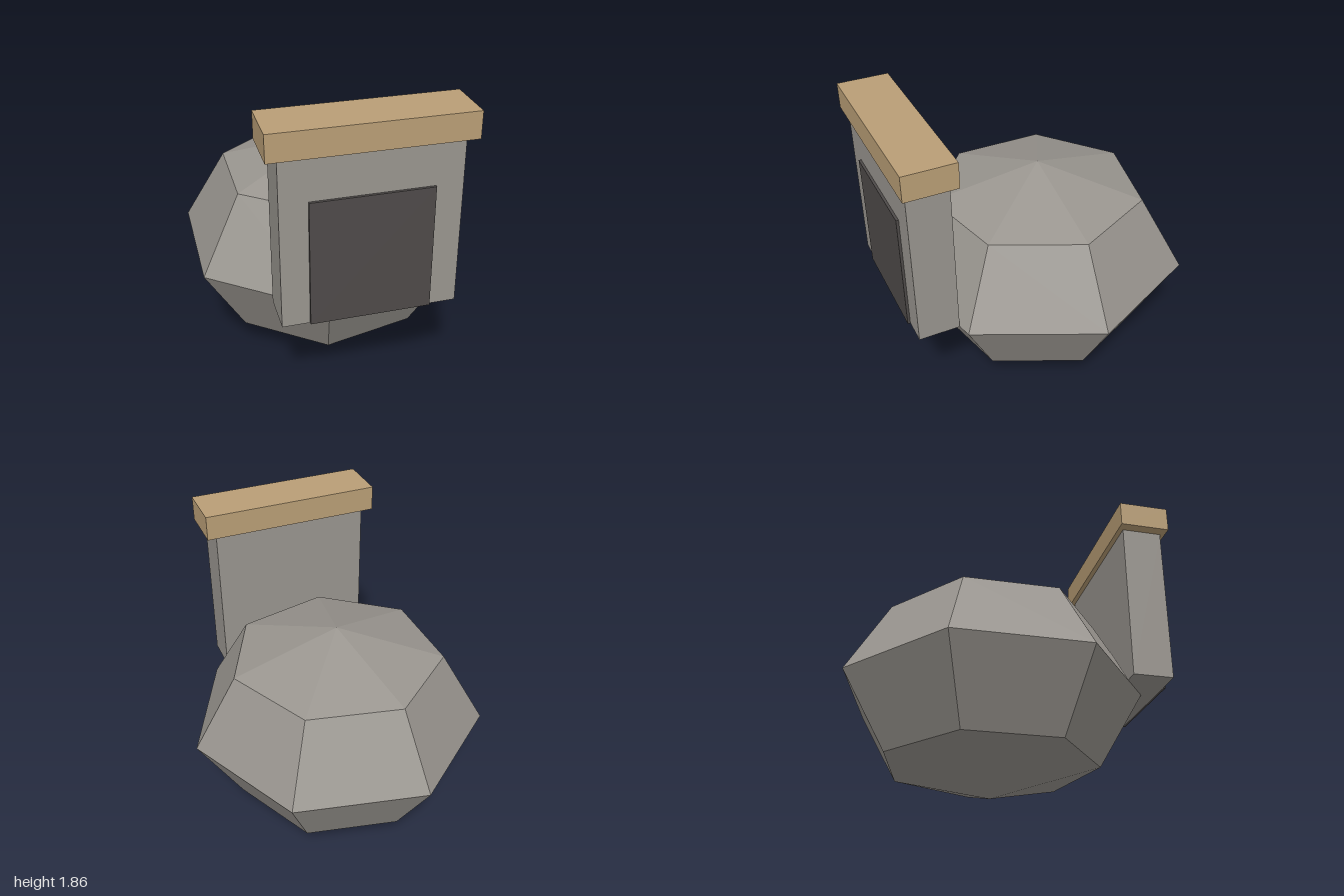
import * as THREE from 'three';

export function createModel() {
  const model = new THREE.Group();
  const stone = new THREE.MeshStandardMaterial({ color: 0x99958f, flatShading: true });
  stone.name = 'grey stone';
  const wood = new THREE.MeshStandardMaterial({ color: 0xb99e76 });
  wood.name = 'tan lintel';
  const dark = new THREE.MeshStandardMaterial({ color: 0x4e4a49 });
  dark.name = 'dark doorway';

  const cx = -0.05; // shared centre line of all parts
  const floor = 0.677;

  // Faceted seven-sided boulder, squashed in height
  const boulder = new THREE.Mesh(new THREE.SphereGeometry(0.96, 7, 4), stone);
  boulder.name = 'boulder';
  boulder.rotation.y = Math.PI;
  boulder.scale.y = 0.703;
  boulder.position.set(cx, 0.675, -0.06);
  model.add(boulder);

  // Box standing on a given base height
  const addBox = (name, w, h, d, base, z, material) => {
    const mesh = new THREE.Mesh(new THREE.BoxGeometry(w, h, d), material);
    mesh.name = name;
    mesh.position.set(cx, base + h / 2, z);
    model.add(mesh);
  };

  // Entrance slab, its doorway and the beam on top
  addBox('entranceWall', 1.024, 1.028, 0.256, floor, 0.84, stone);
  addBox('doorway', 0.704, 0.768, 0.016, floor, 0.976, dark);
  addBox('lintel', 1.154, 0.16, 0.32, floor + 1.028, 0.84, wood);

  return model;
}
